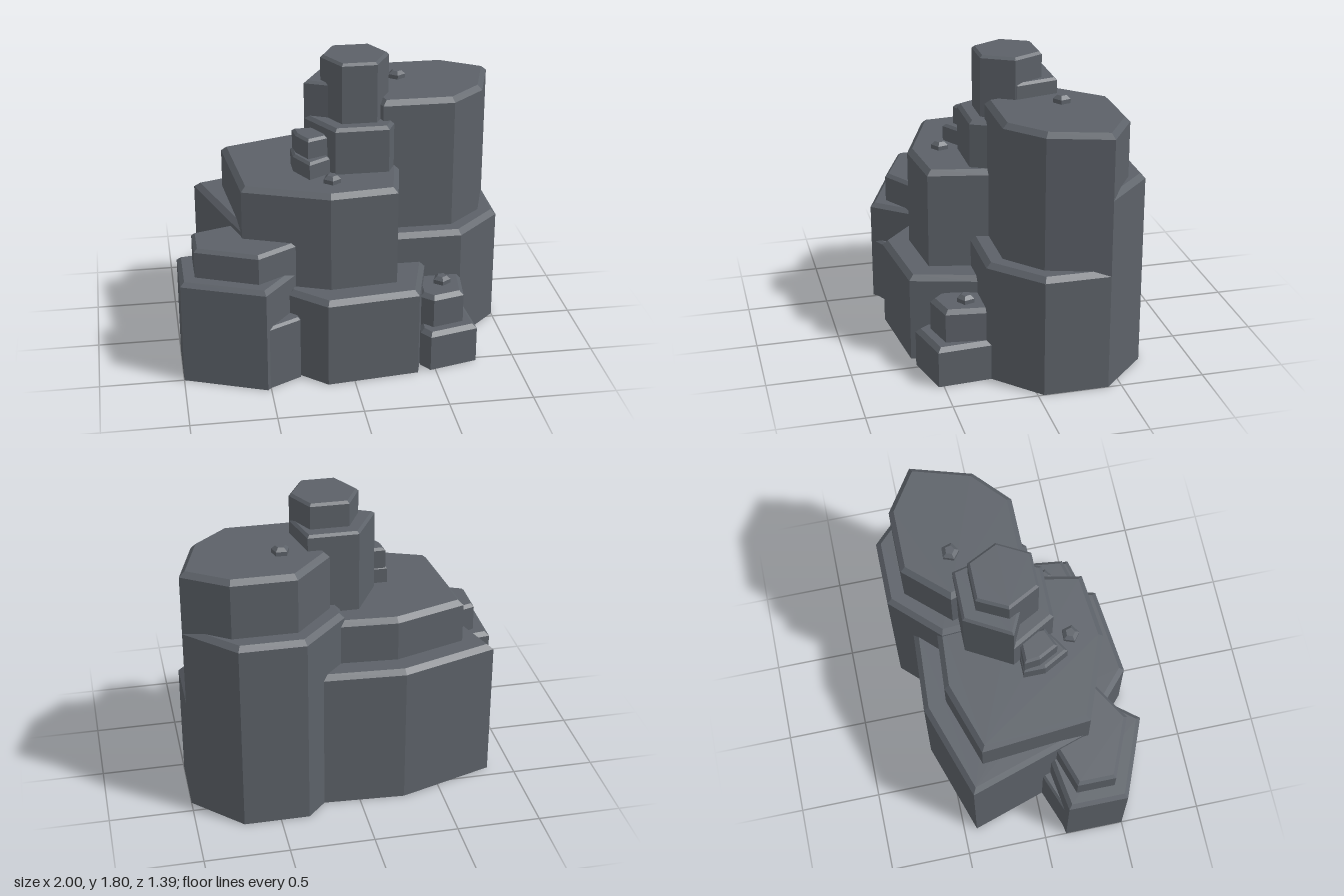
import * as THREE from 'three';

const rock = new THREE.MeshStandardMaterial({ color: 0x5c6168 });
rock.name = 'slate grey';

// Moves every edge of a convex outline inwards by d and intersects neighbours.
function inset(pts, d) {
  const n = pts.length;
  const edges = pts.map((p, i) => {
    const q = pts[(i + 1) % n];
    const dx = q[0] - p[0], dz = q[1] - p[1], l = Math.hypot(dx, dz);
    return { x: p[0] - dz / l * d, z: p[1] + dx / l * d, dx, dz };
  });
  return pts.map((_, i) => {
    const a = edges[(i + n - 1) % n], b = edges[i];
    const t = ((b.x - a.x) * b.dz - (b.z - a.z) * b.dx) / (a.dx * b.dz - a.dz * b.dx);
    return [a.x + a.dx * t, a.z + a.dz * t];
  });
}

// Upright prism from an x,z outline, with a chamfered top edge.
function block(name, outline, y0, y1, bevel = 0.03, drop = bevel) {
  let area = 0;
  outline.forEach((p, i) => {
    const q = outline[(i + 1) % outline.length];
    area += p[0] * q[1] - q[0] * p[1];
  });
  const pts = area < 0 ? [...outline].reverse() : outline;
  const n = pts.length;
  const rings = [[pts, y0], [pts, y1 - drop], [inset(pts, bevel), y1]]
    .map(([ring, y]) => ring.map(([x, z]) => [x, y, z]));
  const pos = [];
  const tri = (a, b, c) => pos.push(...a, ...b, ...c);
  for (let r = 0; r < 2; r++) {
    for (let i = 0; i < n; i++) {
      const j = (i + 1) % n;
      const a = rings[r][i], b = rings[r][j], c = rings[r + 1][j], d = rings[r + 1][i];
      tri(a, c, b);
      tri(a, d, c);
    }
  }
  for (let i = 1; i < n - 1; i++) {
    tri(rings[2][0], rings[2][i + 1], rings[2][i]);
    tri(rings[0][0], rings[0][i], rings[0][i + 1]);
  }
  const geo = new THREE.BufferGeometry();
  geo.setAttribute('position', new THREE.Float32BufferAttribute(pos, 3));
  geo.computeVertexNormals();
  const mesh = new THREE.Mesh(geo, rock);
  mesh.name = name;
  return mesh;
}

function pebble(x, y, z) {
  const ring = [];
  for (let i = 0; i < 5; i++) {
    const a = i / 5 * Math.PI * 2 + 0.35;
    ring.push([x + 0.054 * Math.cos(a), z + 0.054 * Math.sin(a)]);
  }
  return block('pebble', ring, y - 0.02, y + 0.045, 0.02);
}

export function createModel() {
  const g = new THREE.Group();
  g.name = 'rockFormation';
  g.add(
    // central mass: back ledge, front ledge and main plateau
    block('backLedge', [[-0.85, -0.42], [-0.27, -0.61], [0.25, -0.58], [0.4, 0], [0.2, 0.44], [-0.12, 0.5], [-0.615, 0.32]], 0, 0.88),
    block('frontLedge', [[-0.37, 0.49], [-0.16, 0.68], [0.39, 0.62], [0.5, 0.22], [0.3, 0], [-0.3, 0.1]], 0, 0.545),
    block('mainPlateau', [[-0.68, -0.33], [-0.25, -0.47], [0.2, -0.44], [0.355, 0.1], [0.28, 0.48], [-0.12, 0.52], [-0.62, 0.33]], 0.45, 1.15),

    // right tower: two half-height ledges round a taller core
    block('towerBackLedge', [[0.06, -0.42], [0.33, -0.7], [0.72, -0.7], [1, -0.42], [0.85, -0.1], [0.08, -0.1]], 0, 1.195),
    block('towerFrontLedge', [[0.2, -0.35], [1, -0.42], [1, -0.035], [0.72, 0.235], [0.3, 0.235]], 0, 0.735),
    block('rightTower', [[0.13, -0.34], [0.36, -0.59], [0.74, -0.59], [1, -0.42], [0.89, -0.06], [0.68, 0.13], [0.25, 0.13]], 0.65, 1.555),

    // central spire
    block('spireFrontTier', [[-0.2, -0.04], [-0.05, 0.225], [0.27, 0.225], [0.33, 0.1], [0.27, -0.08]], 1.1, 1.435, 0.02),
    block('spireBackTier', [[-0.2, -0.04], [-0.05, -0.305], [0.25, -0.305], [0.31, -0.05], [0.2, 0.03], [-0.05, 0.03]], 1.1, 1.65, 0.015),
    block('spireTop', [[-0.1, -0.045], [-0.01, -0.22], [0.22, -0.22], [0.31, -0.04], [0.21, 0.145], [0, 0.145]], 1.38, 1.805, 0.015),

    // small step beside the spire
    block('smallStepLower', [[-0.29, 0], [-0.29, 0.13], [-0.21, 0.28], [-0.08, 0.2], [-0.1, 0]], 1.1, 1.255, 0.015),
    block('smallStepUpper', [[-0.28, 0.005], [-0.27, 0.1], [-0.21, 0.215], [-0.09, 0.165], [-0.1, 0.005]], 1.2, 1.375, 0.015),

    // left outcrop
    block('leftFoot', [[-0.98, 0.14], [-0.65, 0.02], [-0.31, 0.3], [-0.31, 0.565], [-0.525, 0.68], [-0.98, 0.48]], 0, 0.4, 0.015),
    block('leftOutcrop', [[-1, 0.135], [-0.62, 0.08], [-0.31, 0.43], [-0.52, 0.69], [-1, 0.5]], 0, 0.645, 0.025),
    block('leftOutcropTop', [[-0.91, 0.2], [-0.6, 0.1], [-0.31, 0.44], [-0.55, 0.585], [-0.91, 0.435]], 0.55, 0.825, 0.02),

    // front right step
    block('rightStepLower', [[0.42, 0.53], [0.47, 0.605], [0.765, 0.53], [0.74, 0.15], [0.45, 0.15]], 0, 0.245, 0.025),
    block('rightStepUpper', [[0.43, 0.45], [0.5, 0.52], [0.69, 0.47], [0.73, 0.15], [0.45, 0.15]], 0.18, 0.445, 0.025),

    // loose pebbles on the flat tops
    pebble(0.405, 1.555, -0.29),
    pebble(-0.085, 1.15, 0.325),
    pebble(0.585, 0.445, 0.325),
  );
  return g;
}
